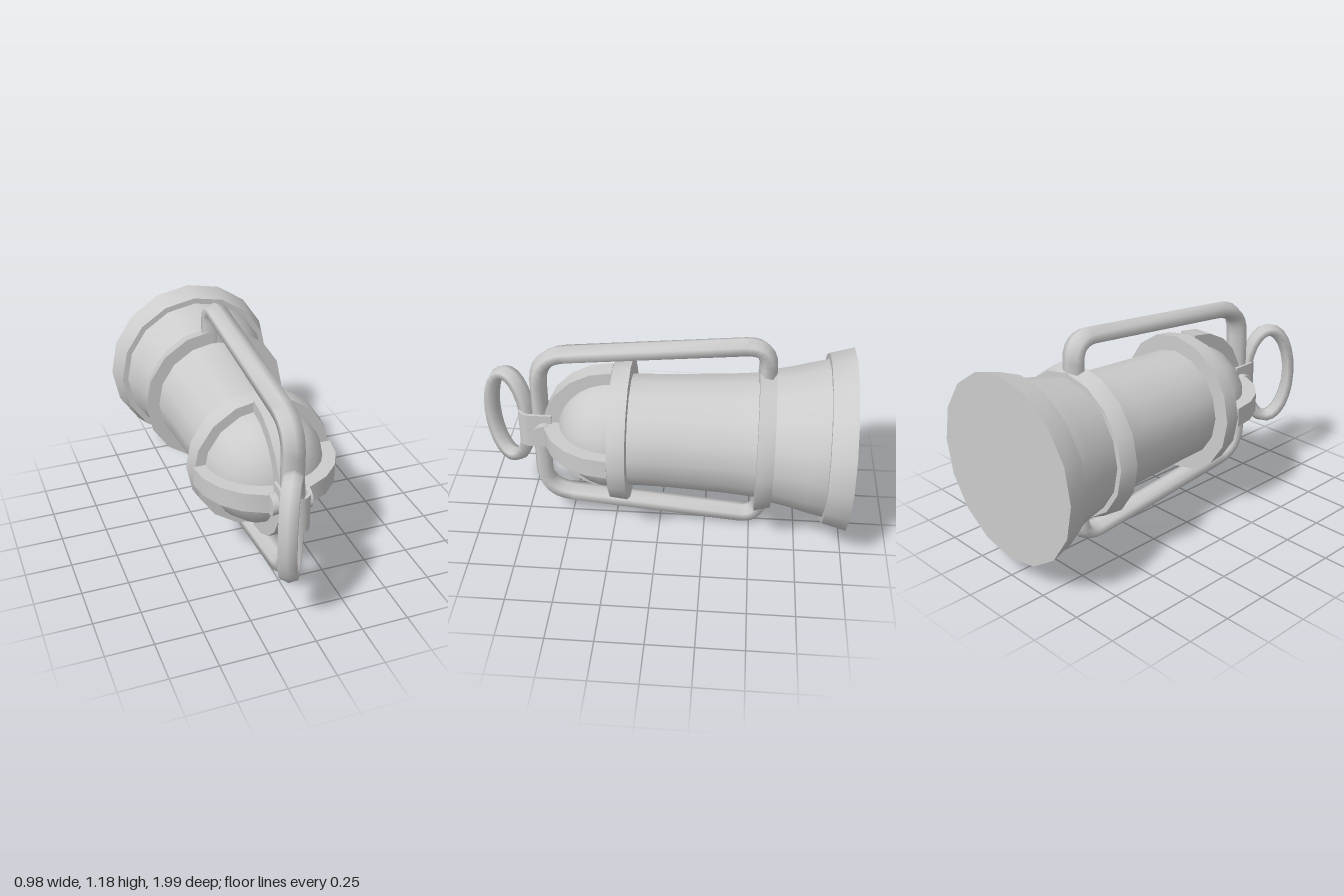
import * as THREE from 'three';
import { toCreasedNormals } from 'three/addons/utils/BufferGeometryUtils.js';

const AXIS_Y = 0.595; // height of the lamp's long axis
const material = new THREE.MeshStandardMaterial({ color: 0xcccccc, side: THREE.DoubleSide });

function addMesh(parent, name, geometry) {
  const mesh = new THREE.Mesh(geometry, material);
  mesh.name = name;
  parent.add(mesh);
  return mesh;
}

// Turned part along z from [radius, z] pairs, back to front
function turned(profile) {
  const points = profile.map(([r, z]) => new THREE.Vector2(r, z));
  const geometry = new THREE.LatheGeometry(points, 16).rotateX(Math.PI / 2);
  return toCreasedNormals(geometry, 0.5);
}

// Six-sided bar swept along a closed path of [z, y] points; wide across x
function bar(path, halfWide, halfThick) {
  const positions = [], index = [], n = path.length, sides = 6;
  for (let i = 0; i < n; i++) {
    const a = path[(i + n - 1) % n], b = path[(i + 1) % n];
    const tangent = new THREE.Vector2(b.x - a.x, b.y - a.y).normalize();
    for (let j = 0; j < sides; j++) {
      const angle = (j / sides) * Math.PI * 2;
      const out = Math.cos(angle) * halfThick;
      const across = Math.sin(angle) * halfWide / Math.cos(Math.PI / 6);
      positions.push(across, path[i].y - tangent.x * out, path[i].x + tangent.y * out);
      const j2 = (j + 1) % sides, i2 = (i + 1) % n;
      const p = i * sides + j, q = i * sides + j2, r = i2 * sides + j, s = i2 * sides + j2;
      index.push(p, q, r, q, s, r);
    }
  }
  const geometry = new THREE.BufferGeometry();
  geometry.setAttribute('position', new THREE.Float32BufferAttribute(positions, 3));
  geometry.setIndex(index);
  geometry.computeVertexNormals();
  return geometry;
}

// Rounds each corner [z, y, cut] of a closed polygon with a short curve
function rounded(corners) {
  return corners.flatMap(([z, y, cut], i) => {
    const n = corners.length, c = new THREE.Vector2(z, y);
    const toward = (k) => new THREE.Vector2(corners[k][0], corners[k][1]).sub(c).setLength(cut).add(c);
    return new THREE.QuadraticBezierCurve(toward((i + n - 1) % n), c, toward((i + 1) % n)).getPoints(6);
  });
}

export function createModel() {
  const model = new THREE.Group();
  model.name = 'lantern';
  const lamp = new THREE.Group();
  lamp.name = 'lamp';
  lamp.position.y = AXIS_Y;
  model.add(lamp);

  // Body, collars and rim
  addMesh(lamp, 'rim', turned([[0, -1], [0.49, -1], [0.456, -0.875], [0.4, -0.875]]));
  addMesh(lamp, 'body', turned([
    [0.425, -0.88], [0.402, -0.78], [0.378, -0.69], [0.36, -0.6], [0.336, -0.515],
    [0.322, -0.35], [0.312, -0.15], [0.304, 0.03], [0.3, 0.17],
  ]));
  addMesh(lamp, 'rearCollar', turned([[0.34, -0.602], [0.388, -0.602], [0.41, -0.515], [0.32, -0.515]]));
  addMesh(lamp, 'frontCollar', turned([[0.28, 0.155], [0.385, 0.155], [0.375, 0.25], [0.28, 0.25]]));

  // Glass dome
  const dome = [];
  for (let i = 0; i <= 8; i++) {
    const a = (i / 8) * Math.PI / 2;
    dome.push([0.32 * Math.cos(a), 0.25 + 0.3 * Math.sin(a)]);
  }
  addMesh(lamp, 'dome', turned(dome));

  // Crossed guard ribs over the dome
  const arch = new THREE.Shape();
  const steps = 10;
  for (let i = 0; i <= steps; i++) {
    const a = (i / steps) * Math.PI;
    arch[i ? 'lineTo' : 'moveTo'](0.378 * Math.cos(a), 0.38 * Math.sin(a));
  }
  for (let i = steps; i >= 0; i--) {
    const a = (i / steps) * Math.PI;
    arch.lineTo(0.31 * Math.cos(a), 0.29 * Math.sin(a));
  }
  for (const [name, turn] of [['horizontalRib', 0], ['verticalRib', Math.PI / 2]]) {
    const rib = new THREE.ExtrudeGeometry(arch, { depth: 0.105, bevelEnabled: false });
    rib.translate(0, 0, -0.0525).rotateX(Math.PI / 2).rotateZ(turn).translate(0, 0, 0.25);
    addMesh(lamp, name, toCreasedNormals(rib, 0.5));
  }

  // Closed handle running above, in front of and below the body
  addMesh(lamp, 'handle', bar(rounded([
    [-0.555, -0.553, 0.12], [-0.555, 0.553, 0.12],
    [0.648, 0.437, 0.16], [0.648, -0.437, 0.16],
  ]), 0.055, 0.047));

  // Strap folded round the handle, with its pivot pin
  const strap = new THREE.Shape();
  strap.moveTo(0.07, -0.58);
  strap.lineTo(0.07, -0.7);
  strap.absarc(0, -0.7, 0.07, 0, -Math.PI, true);
  strap.lineTo(-0.07, -0.58);
  strap.lineTo(-0.053, -0.58);
  strap.lineTo(-0.053, -0.7);
  strap.absarc(0, -0.7, 0.053, -Math.PI, 0, false);
  strap.lineTo(0.053, -0.58);
  const strapGeometry = new THREE.ExtrudeGeometry(strap, { depth: 0.2, bevelEnabled: false, curveSegments: 8 });
  strapGeometry.rotateX(-Math.PI / 2).translate(0, -0.1, 0);
  addMesh(lamp, 'strap', toCreasedNormals(strapGeometry, 0.5));
  const pin = new THREE.CylinderGeometry(0.058, 0.058, 0.21, 12).rotateZ(Math.PI / 2);
  addMesh(lamp, 'pivotPin', pin).position.set(0, 0, 0.615);

  // Oval hanging ring, swung to one side
  const oval = [];
  for (let i = 0; i < 24; i++) {
    const a = -(i / 24) * Math.PI * 2;
    oval.push(new THREE.Vector2(0.132 * Math.cos(a), 0.268 * Math.sin(a)));
  }
  const ring = addMesh(lamp, 'hangingRing', bar(oval, 0.045, 0.036));
  ring.position.set(-0.078, 0.003, 0.835);
  ring.rotation.y = -Math.PI / 6;

  return model;
}
